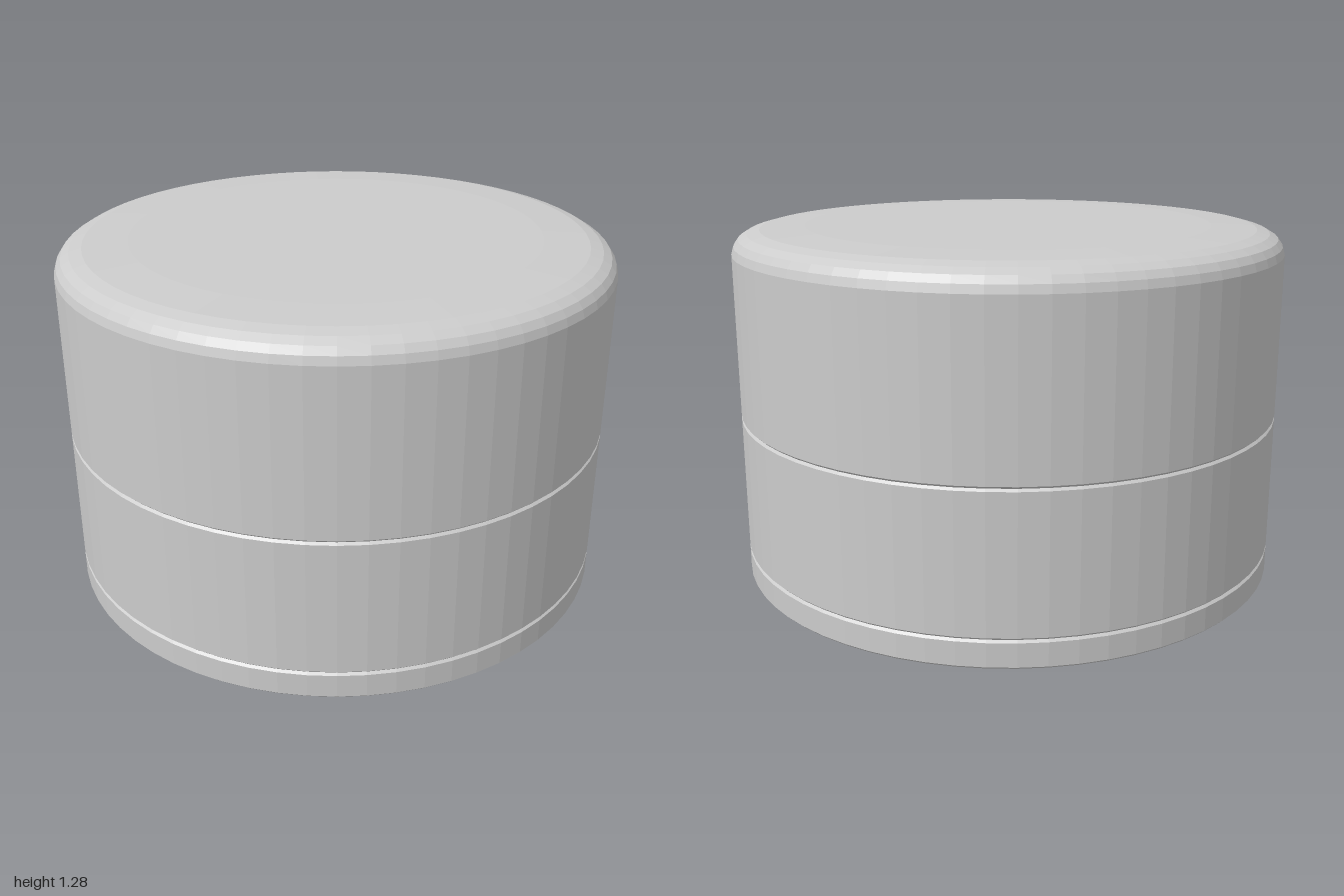
import * as THREE from 'three';

const SEGMENTS = 64;
const OUTER = 1;
const INNER = 0.87;
const BEVEL = 0.008;

// Revolve a [radius, height] profile into a faceted mesh
function revolve(name, profile) {
  const points = profile.map(([r, y]) => new THREE.Vector2(r, y));
  const material = new THREE.MeshStandardMaterial({ color: 0xcccccc, flatShading: true });
  const mesh = new THREE.Mesh(new THREE.LatheGeometry(points, SEGMENTS), material);
  mesh.name = name;
  return mesh;
}

// Hollow ring with small bevels on all four edges
function ring(name, y0, y1) {
  const b = BEVEL;
  return revolve(name, [
    [INNER + b, y0], [OUTER - b, y0], [OUTER, y0 + b],
    [OUTER, y1 - b], [OUTER - b, y1], [INNER + b, y1],
    [INNER, y1 - b], [INNER, y0 + b], [INNER + b, y0],
  ]);
}

// Closed cap with a rounded shoulder and a hollow underside
function lid(name, y0, y1) {
  const b = BEVEL;
  const ceiling = y1 - 0.13;
  return revolve(name, [
    [0, ceiling], [INNER - 0.05, ceiling], [INNER, ceiling - 0.05],
    [INNER, y0 + b], [INNER + b, y0], [OUTER - b, y0], [OUTER, y0 + b],
    [OUTER, y1 - 0.09], [0.992, y1 - 0.062], [0.975, y1 - 0.038],
    [0.945, y1 - 0.02], [0.9, y1 - 0.008], [0.74, y1], [0, y1],
  ]);
}

export function createModel() {
  const group = new THREE.Group();
  group.name = 'roundCap';
  group.add(
    ring('bottomBand', 0, 0.1),
    ring('middleRing', 0.1, 0.6),
    lid('topLid', 0.6, 1.28),
  );
  return group;
}
